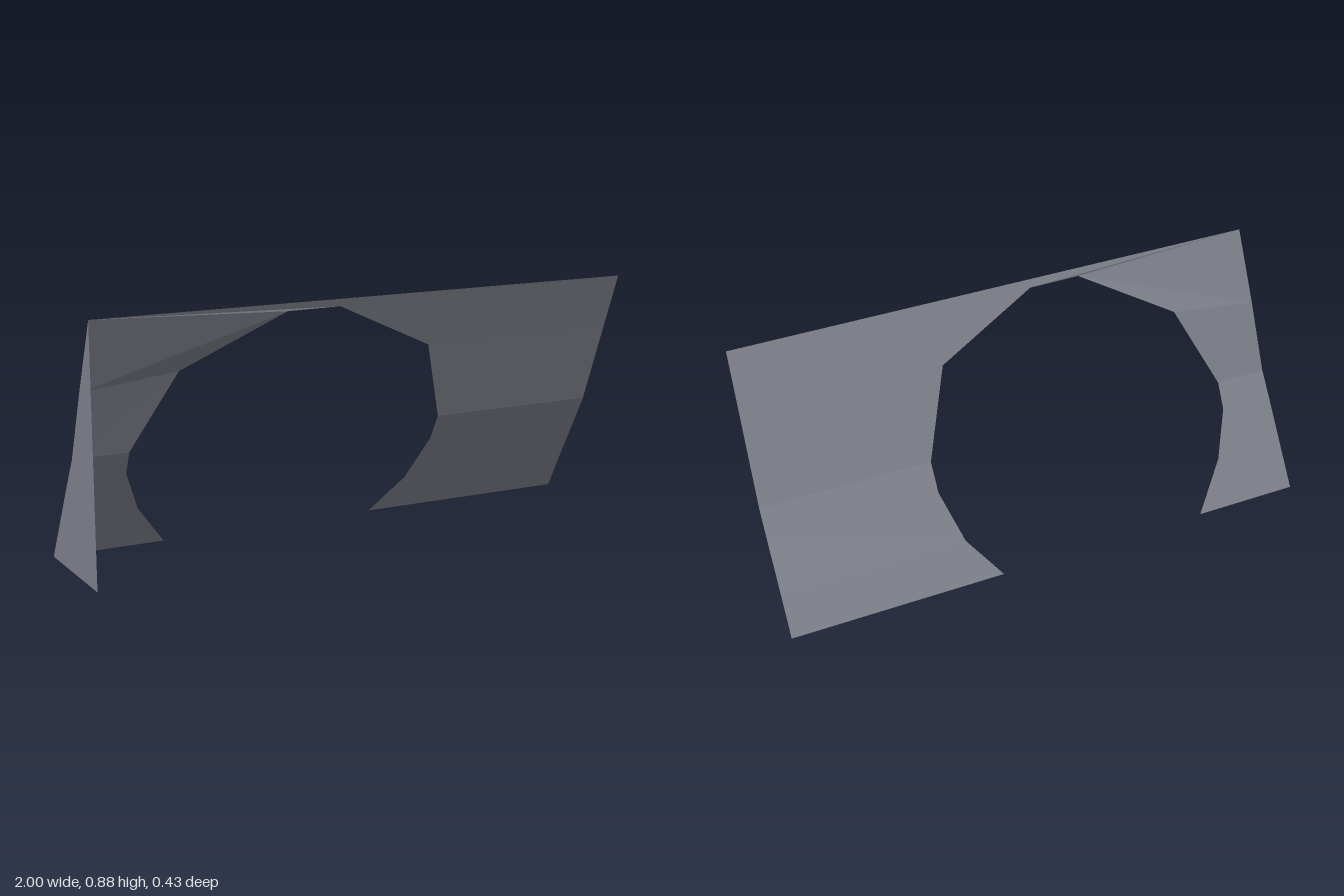
import * as THREE from 'three';

// Surface from flat [x, y, z] points and triangle corners
function facets(points, index, material, name) {
  const geo = new THREE.BufferGeometry();
  geo.setAttribute('position', new THREE.Float32BufferAttribute(points.flat(), 3));
  geo.setIndex(index);
  const flat = geo.toNonIndexed();
  flat.computeVertexNormals();
  const mesh = new THREE.Mesh(flat, material);
  mesh.name = name;
  return mesh;
}

export function createModel() {
  const group = new THREE.Group();
  group.name = 'archedPanel';
  const grey = new THREE.MeshStandardMaterial({ color: 0x82848f, side: THREE.DoubleSide, flatShading: true });
  grey.name = 'slate grey';

  // Rim of the opening, from the left foot over the arch to the right foot
  const inner = [
    [-0.6, 0, -0.213], [-0.725, 0.155, -0.13], [-0.795, 0.305, -0.045], [-0.8, 0.39, 0.003],
    [-0.66, 0.668, 0.104], [-0.31, 0.851, 0.195], [-0.115, 0.851, 0.191],
    [0.265, 0.675, 0.118], [0.375, 0.385, 0.002], [0.375, 0.29, -0.051], [0.32, 0.13, -0.142], [0.21, 0, -0.213],
  ];
  // Outer border, paired point by point with the rim
  const outer = [
    [-1, 0, -0.213], [-1, 0.155, -0.126], [-1, 0.305, -0.042], [-1, 0.39, 0.008],
    [-1, 0.63, 0.1], [-1, 0.882, 0.206], [1, 0.873, 0.198],
    [1, 0.675, 0.118], [1, 0.385, 0.002], [1, 0.29, -0.051], [1, 0.13, -0.142], [1, 0, -0.213],
  ];
  const n = inner.length;
  const strip = [];
  for (let i = 0; i < n - 1; i++) {
    strip.push(i, i + 1, n + i, i + 1, n + i + 1, n + i);
  }
  group.add(facets([...inner, ...outer], strip, grey, 'archedSheet'));

  // Triangular end wall that closes one side
  const wall = [[-1, 0, 0.213], ...outer.slice(0, 6)];
  const fan = [];
  for (let i = 1; i < wall.length - 1; i++) fan.push(0, i + 1, i);
  group.add(facets(wall, fan, grey, 'endWall'));

  return group;
}
